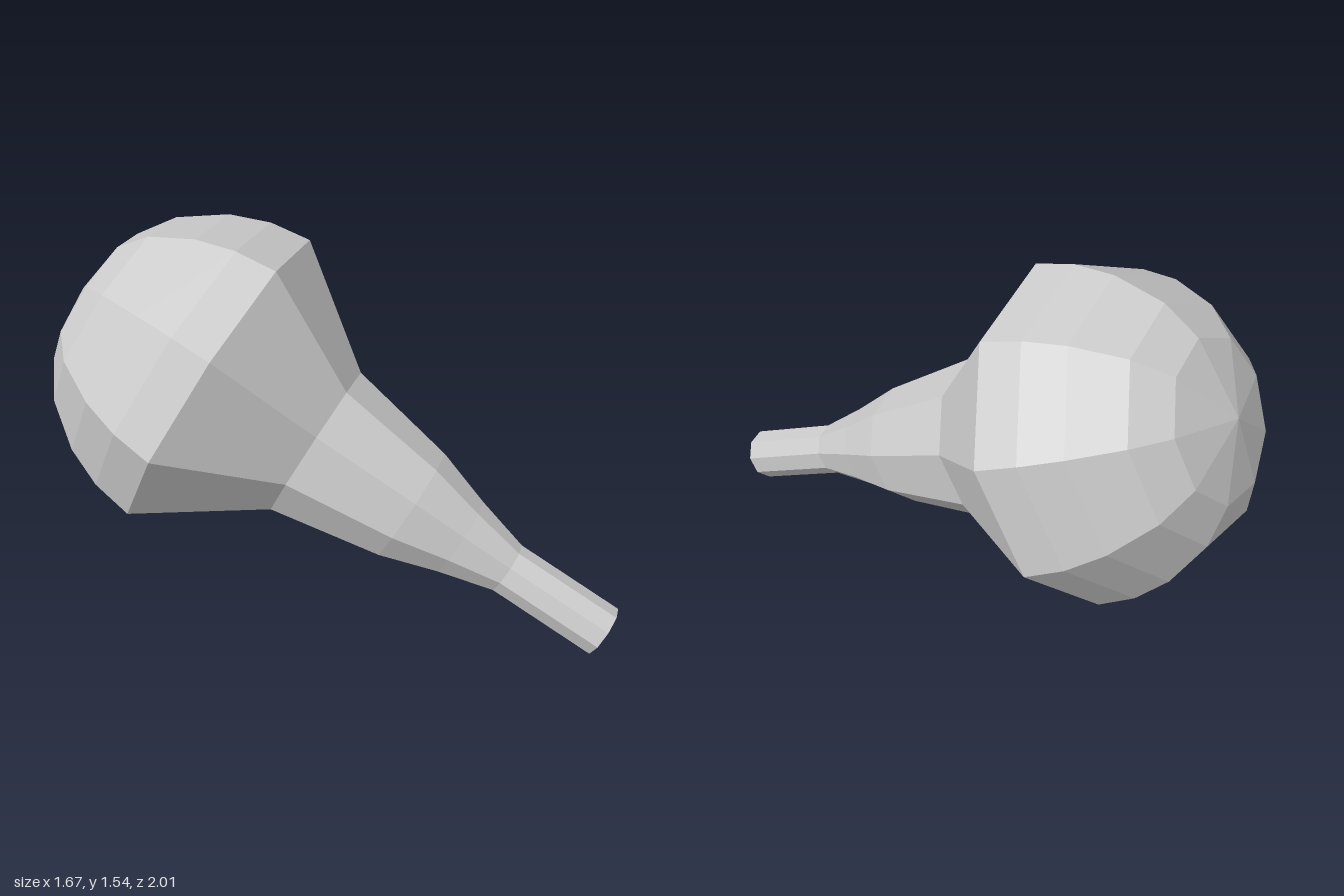
import * as THREE from 'three';

export function createModel() {
  const group = new THREE.Group();
  group.name = 'bulbWithNeck';

  // Nine-sided profile [radius, distance along the axis]: open neck tip to closed dome apex
  const profile = [
    [0.106, -1.8], [0.106, -1.35], [0.165, -1.13], [0.24, -0.9], [0.325, -0.45],
    [0.648, 0], [0.622, 0.165], [0.56, 0.32], [0.437, 0.49], [0.3, 0.585], [0, 0.655],
  ].map(([r, h]) => new THREE.Vector2(r, h));

  const material = new THREE.MeshStandardMaterial({
    color: 0xcccccc, flatShading: true, side: THREE.DoubleSide,
  });
  const bulb = new THREE.Mesh(new THREE.LatheGeometry(profile, 9), material);
  bulb.name = 'bulbShell';

  // Tilt the axis: dome up and back, neck down to the front left
  const axis = new THREE.Vector3(-0.537, 0.449, -0.714).normalize();
  const side = axis.clone().cross(new THREE.Vector3(-0.43, 0.586, 0.69)).normalize();
  const corner = side.clone().cross(axis);
  bulb.quaternion.setFromRotationMatrix(new THREE.Matrix4().makeBasis(side, axis, corner));
  bulb.position.set(-0.218, 0.909, -0.357);

  group.add(bulb);
  return group;
}
